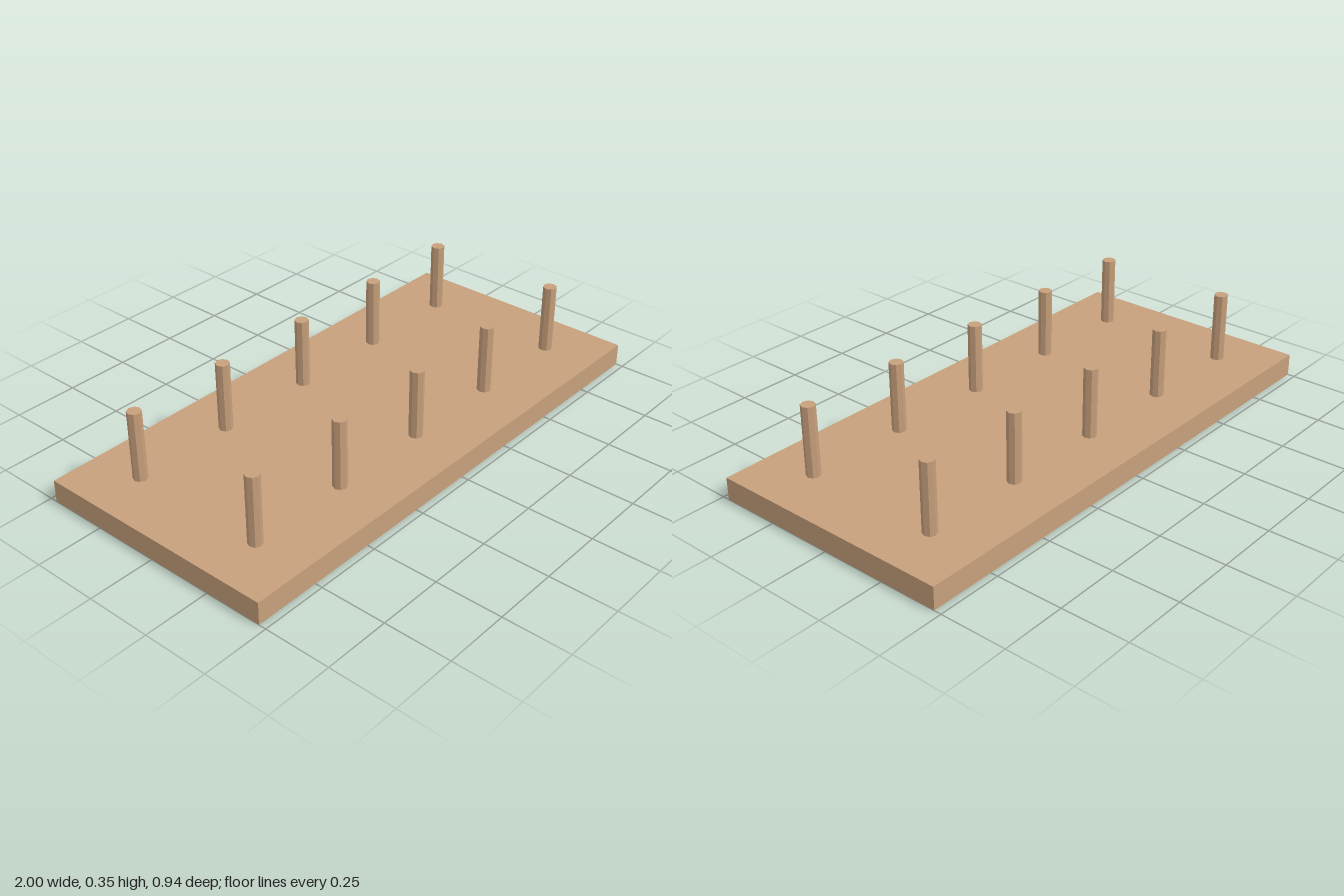
import * as THREE from 'three';

const WIDTH = 2, DEPTH = 0.945, THICKNESS = 0.085;
const PEG_RADIUS = 0.026, PEG_TOP = 0.35, PEG_Z = 0.267, PEG_SPACING = 0.4;

export function createModel() {
  const model = new THREE.Group();
  model.name = 'pegBoard';

  const wood = new THREE.MeshStandardMaterial({ color: 0xc8a07c, flatShading: true });
  wood.name = 'wood';

  // Flat base board
  const board = new THREE.Mesh(new THREE.BoxGeometry(WIDTH, THICKNESS, DEPTH), wood);
  board.name = 'board';
  board.position.y = THICKNESS / 2;
  model.add(board);

  // Two rows of five octagonal pegs
  const pegHeight = PEG_TOP - THICKNESS;
  const pegGeometry = new THREE.CylinderGeometry(PEG_RADIUS, PEG_RADIUS, pegHeight, 8);
  for (const [rowName, z] of [['front', PEG_Z], ['back', -PEG_Z]]) {
    for (let i = 0; i < 5; i++) {
      const peg = new THREE.Mesh(pegGeometry, wood);
      peg.name = `${rowName}Peg${i + 1}`;
      peg.position.set((i - 2) * PEG_SPACING, THICKNESS + pegHeight / 2, z);
      model.add(peg);
    }
  }

  return model;
}
